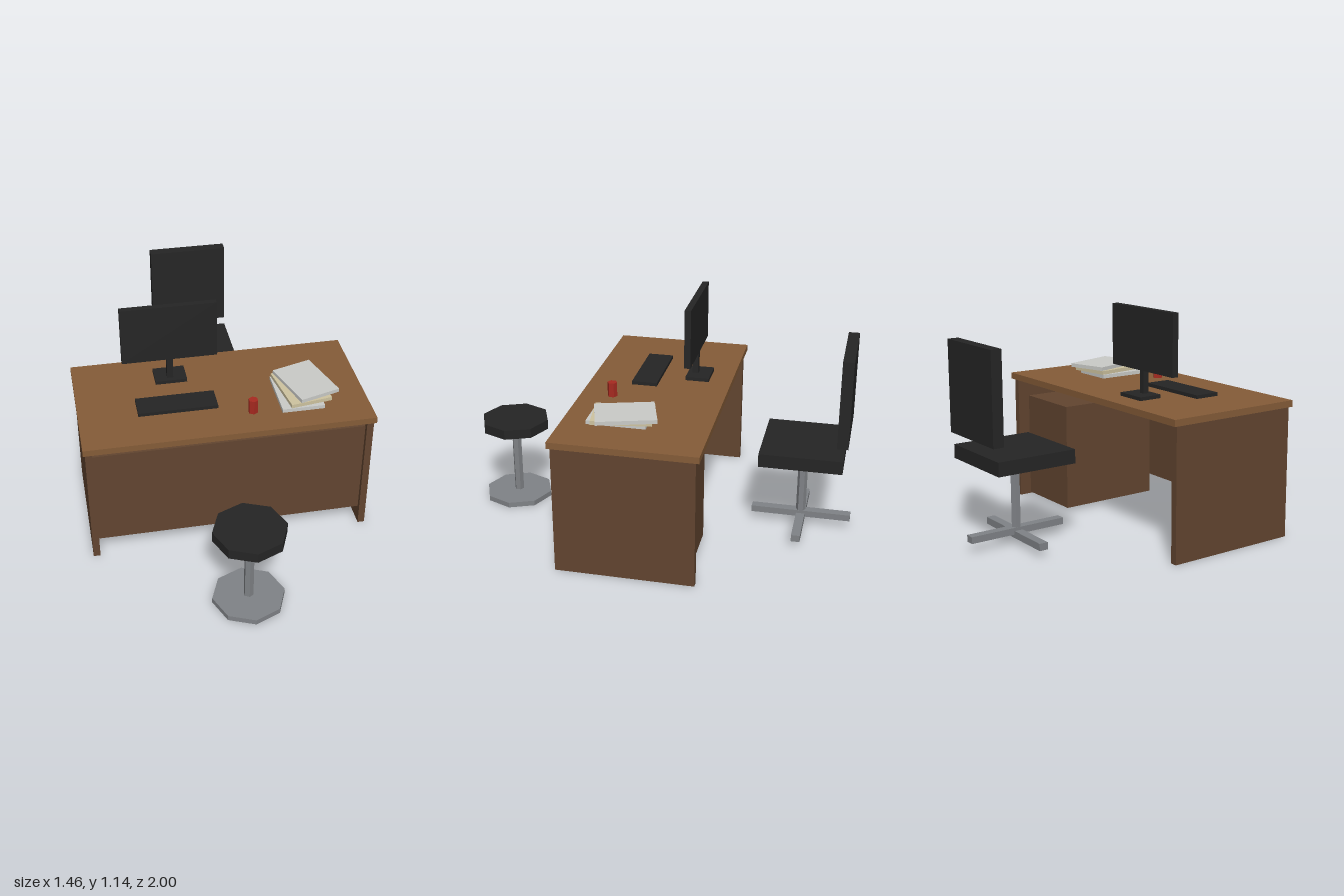
import * as THREE from 'three';

const mat = (name, color) => {
  const m = new THREE.MeshStandardMaterial({ color });
  m.name = name;
  m.flatShading = true;
  return m;
};

export function createModel() {
  const wood = mat('lightWood', 0x855c38);
  const darkWood = mat('darkWood', 0x624530);
  const black = mat('black', 0x252525);
  const metal = mat('greyMetal', 0x808387);
  const red = mat('red', 0xa82a20);
  const white = mat('whitePaper', 0xcacbc8);
  const cream = mat('creamPaper', 0xcfc4a0);

  const model = new THREE.Group();
  model.name = 'officeDeskSet';
  const group = (name) => {
    const g = new THREE.Group();
    g.name = name;
    model.add(g);
    return g;
  };
  const add = (parent, name, geometry, material) => {
    const mesh = new THREE.Mesh(geometry, material);
    mesh.name = name;
    parent.add(mesh);
    return mesh;
  };
  // Box given by its limits on each axis
  const box = (parent, name, material, [x0, x1], [y0, y1], [z0, z1]) => {
    const mesh = add(parent, name, new THREE.BoxGeometry(x1 - x0, y1 - y0, z1 - z0), material);
    mesh.position.set((x0 + x1) / 2, (y0 + y1) / 2, (z0 + z1) / 2);
    return mesh;
  };
  // Upright prism with the given number of sides
  const prism = (parent, name, material, r, sides, x, z, y0, y1) => {
    const mesh = add(parent, name, new THREE.CylinderGeometry(r, r, y1 - y0, sides), material);
    mesh.position.set(x, (y0 + y1) / 2, z);
    return mesh;
  };

  // Desk
  const desk = group('desk');
  box(desk, 'deskTop', wood, [-0.732, 0.732], [0.665, 0.698], [-0.33, 0.4]);
  box(desk, 'leftSidePanel', darkWood, [0.687, 0.722], [0, 0.665], [-0.312, 0.385]);
  box(desk, 'rightSidePanel', darkWood, [-0.722, -0.687], [0, 0.665], [-0.312, 0.385]);
  box(desk, 'frontPanel', darkWood, [-0.687, 0.687], [0.095, 0.625], [0.335, 0.362]);
  box(desk, 'drawerUnit', darkWood, [0.267, 0.648], [0.02, 0.575], [-0.27, 0.28]);

  // Monitor
  const monitor = group('monitor');
  box(monitor, 'monitorFoot', black, [-0.31, -0.145], [0.698, 0.716], [-0.212, -0.087]);
  box(monitor, 'monitorPost', black, [-0.246, -0.214], [0.716, 0.84], [-0.144, -0.113]);
  box(monitor, 'monitorScreen', black, [-0.476, 0.016], [0.83, 1.14], [-0.145, -0.112]);

  // Things on the desk
  const items = group('deskItems');
  box(items, 'keyboard', black, [-0.434, -0.03], [0.698, 0.716], [0.041, 0.174]);
  prism(items, 'cup', red, 0.025, 6, 0.135, 0.235, 0.698, 0.773);
  [[0.387, 0.125, 0, white], [0.412, 0.108, 0.145, cream], [0.44, 0.09, 0.29, white]]
    .forEach(([x, z, turn, material], i) => {
      const stack = add(items, 'paperStack', new THREE.BoxGeometry(0.217, 0.0195, 0.297), material);
      stack.position.set(x, 0.708 + i * 0.0195, z);
      stack.rotation.y = turn;
    });

  // Office chair
  const chair = group('officeChair');
  box(chair, 'chairSeat', black, [-0.218, 0.218], [0.417, 0.487], [-0.953, -0.533]);
  box(chair, 'chairBack', black, [-0.21, 0.21], [0.552, 1.01], [-0.972, -0.916]);
  prism(chair, 'chairColumn', metal, 0.025, 6, 0, -0.742, 0.05, 0.417);
  box(chair, 'chairFootAcross', metal, [-0.257, 0.257], [0.032, 0.068], [-0.765, -0.72]);
  box(chair, 'chairFootAlong', metal, [-0.023, 0.023], [0.05, 0.084], [-1, -0.485]);

  // Visitor stool
  const stool = group('stool');
  prism(stool, 'stoolBase', metal, 0.182, 8, 0, 0.818, 0, 0.028);
  prism(stool, 'stoolColumn', metal, 0.025, 6, 0, 0.818, 0.028, 0.408);
  prism(stool, 'stoolSeat', black, 0.182, 8, 0, 0.818, 0.408, 0.46);

  return model;
}
